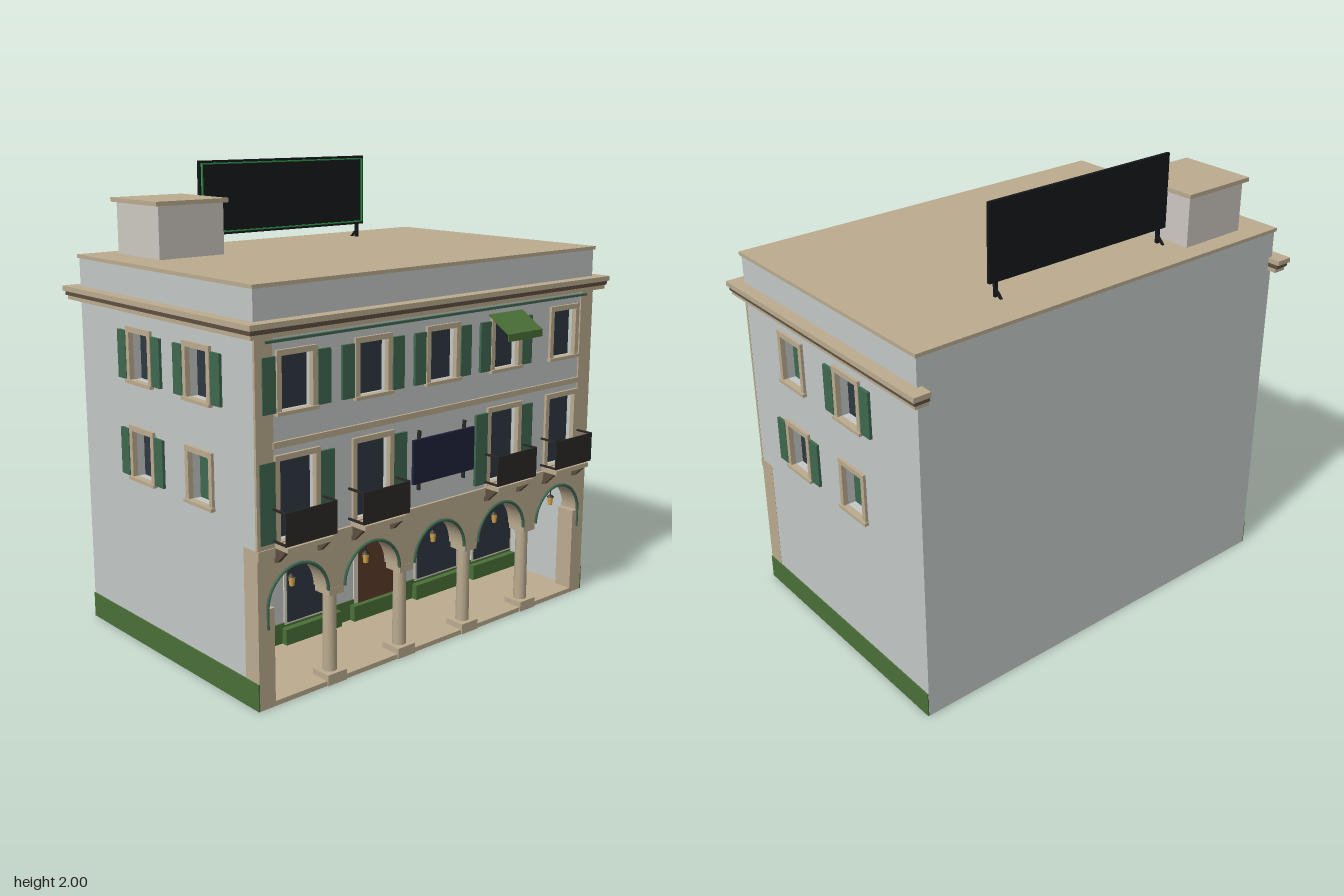
import * as THREE from 'three';

const mat = (color, side = THREE.FrontSide) => new THREE.MeshStandardMaterial({ color, side });
const M = {
  wall: mat(0xc3c9c7), stone: mat(0xbbab8f), trim: mat(0x5c5040), glass: mat(0x2e3841),
  shutter: mat(0x3f6850), green: mat(0x4a7038), door: mat(0x5a3a28), iron: mat(0x2a2826),
  black: mat(0x17181b), navy: mat(0x20233b), neon: mat(0x2f9a4a), hut: mat(0xcdc8c1),
  cream: mat(0xd6d0c0), lamp: mat(0xd9a94e), awning: mat(0x4a7038, THREE.DoubleSide),
};
const BAYS = [-0.755, -0.378, 0, 0.378, 0.755];

function add(parent, name, geometry, material, x = 0, y = 0, z = 0) {
  const mesh = new THREE.Mesh(geometry, material);
  mesh.name = name;
  mesh.position.set(x, y, z);
  parent.add(mesh);
  return mesh;
}

// Box given by its minimum and maximum along each axis
function box(parent, name, material, x0, x1, y0, y1, z0, z1) {
  return add(parent, name, new THREE.BoxGeometry(x1 - x0, y1 - y0, z1 - z0), material,
    (x0 + x1) / 2, (y0 + y1) / 2, (z0 + z1) / 2);
}

function group(parent, name, x = 0, y = 0, z = 0) {
  const g = new THREE.Group();
  g.name = name;
  g.position.set(x, y, z);
  parent.add(g);
  return g;
}

// Wall with window holes; its outer face lies at local z = 0
function wall(parent, name, x0, x1, y0, y1, thick, windows) {
  const s = new THREE.Shape([[x0, y0], [x1, y0], [x1, y1], [x0, y1]].map(p => new THREE.Vector2(...p)));
  for (const { x, w, b, t } of windows) {
    const h = w / 2;
    s.holes.push(new THREE.Path([[x - h, b], [x - h, t], [x + h, t], [x + h, b]].map(p => new THREE.Vector2(...p))));
  }
  add(parent, name, new THREE.ExtrudeGeometry(s, { depth: thick, bevelEnabled: false }), M.wall, 0, 0, -thick);
  windows.forEach(o => windowUnit(parent, o));
}

// Recessed pane, stone surround, sill and optional shutters
function windowUnit(parent, { x, w, b, t, recess, sides = [], closed = false, sw = 0.06 }) {
  const g = group(parent, 'window', x), h = w / 2;
  box(g, 'pane', closed ? M.shutter : M.glass, -h, h, b, t, -recess - 0.01, -recess);
  for (const s of [-1, 1]) {
    const c = s * (h + 0.009);
    box(g, 'frameSide', M.stone, c - 0.011, c + 0.011, b, t, -0.01, 0.012);
  }
  box(g, 'frameTop', M.stone, -h - 0.02, h + 0.02, t - 0.002, t + 0.02, -0.01, 0.013);
  box(g, 'sill', M.stone, -h - 0.024, h + 0.024, b - 0.012, b + 0.002, -0.01, 0.02);
  for (const s of sides) {
    const c = s * (h + 0.055);
    box(g, 'shutter', M.shutter, c - sw / 2, c + sw / 2, b, t, 0, 0.012);
  }
}

function buildShell(root) {
  // Front upper wall with two rows of windows
  const front = group(root, 'frontWall', 0, 0, 0.575);
  const top = BAYS.map((x, i) => ({ x, w: 0.15, b: 1.145, t: 1.355, recess: 0.03, sides: i < 4 ? [-1, 1] : [] }));
  const mid = [[-0.755, [-1, 1]], [-0.378, [1]], [0.378, [-1, 1]], [0.755, []]]
    .map(([x, sides]) => ({ x, w: 0.175, b: 0.655, t: 0.965, recess: 0.03, sides, sw: 0.07 }));
  wall(front, 'upperWall', -0.945, 0.945, 0.6, 1.61, 0.08, [...top, ...mid]);
  for (const s of [-1, 1]) {
    const side = group(root, s > 0 ? 'leftWall' : 'rightWall', s * 0.945);
    side.rotation.y = s * Math.PI / 2;
    const win = (z, b, t, closed) => ({
      x: -s * z, w: 0.14, b, t, recess: 0.045, closed, sides: closed ? [] : [-1, 1],
    });
    const x0 = s > 0 ? -0.495 : -0.637;
    wall(side, 'sideWall', x0, x0 + 1.132, 0, 1.61, 0.05, [
      win(0.225, 1.145, 1.345, s > 0), win(-0.18, 1.145, 1.345, false),
      win(0.225, 0.737, 0.935, s < 0), win(-0.18, 0.737, 0.935, s > 0)].map((o, i) =>
      // The lower front and back windows swap shutters from side to side
      (s > 0 || i < 2) ? o : { ...o, closed: i === 2, sides: i === 2 ? [] : [-1, 1] }));
    const e = s * 0.947;
    box(root, 'greenPlinth', M.green, e - 0.003, e + 0.003, 0, 0.11, -0.637, 0.58);
    // Corner pilaster
    const c = s * 0.906;
    box(root, 'pilaster', M.stone, c - 0.04, c + 0.04, 0.63, 1.43, 0.57, 0.582);
  }
  box(root, 'backWall', M.wall, -0.945, 0.945, 0, 1.61, -0.638, -0.59);
  box(root, 'roof', M.stone, -0.952, 0.952, 1.605, 1.62, -0.645, 0.583);
  box(root, 'floorBand', M.stone, -0.87, 0.87, 1.012, 1.036, 0.57, 0.586);
  box(root, 'greenCable', M.shutter, -0.9, 0.9, 1.404, 1.414, 0.575, 0.587);
  // Three-sided stepped cornice
  for (const [y0, y1, out, m] of [[1.43, 1.448, 0.04, M.stone], [1.448, 1.466, 0.047, M.trim], [1.466, 1.487, 0.055, M.stone]]) {
    box(root, 'frontCornice', m, -0.945 - out, 0.945 + out, y0, y1, 0.57, 0.575 + out);
    for (const s of [-1, 1]) {
      const c = s * (0.935 + out / 2);
      box(root, 'sideCornice', m, c - out / 2 - 0.01, c + out / 2 + 0.01, y0, y1, -0.64 - out, 0.571);
    }
  }
}

function buildArcade(root) {
  const g = group(root, 'arcade');
  // Arched front: one outline running over the five arches
  const s = new THREE.Shape();
  s.moveTo(-0.946, 0);
  s.lineTo(-0.87, 0);
  s.lineTo(-0.87, 0.4);
  for (const x of BAYS) {
    s.lineTo(x - 0.143, 0.4);
    s.absarc(x, 0.4, 0.143, Math.PI, 0, true);
  }
  s.lineTo(0.87, 0.4);
  s.lineTo(0.87, 0);
  s.lineTo(0.946, 0);
  s.lineTo(0.946, 0.635);
  s.lineTo(-0.946, 0.635);
  add(g, 'archedFront', new THREE.ExtrudeGeometry(s, { depth: 0.085, bevelEnabled: false, curveSegments: 20 }), M.stone, 0, 0, 0.495);
  box(g, 'stringCourse', M.stone, -0.946, 0.946, 0.598, 0.636, 0.57, 0.587);
  box(g, 'floor', M.stone, -0.94, 0.94, 0, 0.02, 0.16, 0.58);
  box(g, 'ceiling', M.wall, -0.9, 0.9, 0.585, 0.605, 0.16, 0.5);
  box(g, 'recessedWall', M.wall, -0.9, 0.9, 0.02, 0.59, 0.16, 0.18);

  for (const x of [-0.566, -0.189, 0.189, 0.566]) {
    const col = group(g, 'column', x, 0, 0.5375);
    box(col, 'base', M.stone, -0.048, 0.048, 0, 0.045, -0.048, 0.048);
    add(col, 'shaft', new THREE.CylinderGeometry(0.027, 0.03, 0.33, 12), M.stone, 0, 0.21, 0);
    box(col, 'capital', M.stone, -0.037, 0.037, 0.372, 0.402, -0.043, 0.043);
  }
  for (const x of BAYS) {
    add(g, 'archGarland', new THREE.TorusGeometry(0.147, 0.007, 6, 24, Math.PI), M.shutter, x, 0.4, 0.581);
    // Hanging lantern
    add(g, 'lanternRod', new THREE.CylinderGeometry(0.003, 0.003, 0.06, 6), M.iron, x, 0.515, 0.54);
    add(g, 'lanternCap', new THREE.ConeGeometry(0.018, 0.015, 6), M.iron, x, 0.49, 0.54);
    add(g, 'lantern', new THREE.CylinderGeometry(0.014, 0.01, 0.038, 6), M.lamp, x, 0.464, 0.54);
    box(g, 'planter', M.green, x - 0.152, x + 0.152, 0.02, 0.09, 0.18, 0.215);
    if (x) {
      // Shop windows show on both faces of the recessed wall
      box(g, 'shopFrame', M.cream, x - 0.14, x + 0.14, 0.1, 0.475, 0.153, 0.187);
      box(g, 'shopWindow', M.glass, x - 0.127, x + 0.127, 0.11, 0.462, 0.148, 0.192);
    }
  }
  for (const e of [-1, 1]) {
    add(g, 'garlandEnd', new THREE.CylinderGeometry(0.006, 0.006, 0.08, 6), M.shutter, e * 0.902, 0.36, 0.581);
    const c = e * 0.515;
    box(g, 'greenDado', M.green, c - 0.385, c + 0.385, 0.02, 0.11, 0.178, 0.186);
  }
  box(g, 'doorFrame', M.cream, -0.13, 0.13, 0.02, 0.432, 0.153, 0.187);
  box(g, 'door', M.door, -0.108, 0.108, 0.02, 0.415, 0.148, 0.192);
  box(g, 'doorLampBar', M.iron, -0.08, 0.08, 0.452, 0.46, 0.18, 0.2);
}

function buildBalcony(root, x) {
  const g = group(root, 'balcony', x, 0, 0.575);
  box(g, 'slab', M.stone, -0.11, 0.11, 0.632, 0.652, 0, 0.085);
  box(g, 'railPanel', M.iron, -0.123, 0.123, 0.66, 0.79, 0.086, 0.09);
  for (const s of [-1, 1]) {
    for (const y of [0.665, 0.787]) box(g, 'sideRail', M.iron, s * 0.12 - 0.004, s * 0.12 + 0.004, y - 0.004, y + 0.004, 0, 0.088);
    const b = new THREE.Shape([[0, 0.572], [0.02, 0.58], [0.075, 0.633], [0, 0.633]].map(p => new THREE.Vector2(...p)));
    const m = add(g, 'bracket', new THREE.ExtrudeGeometry(b, { depth: 0.018, bevelEnabled: false }), M.trim, s * 0.103 + 0.009, 0, 0);
    m.rotation.y = -Math.PI / 2;
  }
}

function buildFrontFittings(root) {
  [-0.755, -0.378, 0.378, 0.755].forEach(x => buildBalcony(root, x));
  // Plain signboard on two posts
  box(root, 'signBoard', M.navy, -0.175, 0.175, 0.74, 0.925, 0.588, 0.6);
  for (const s of [-1, 1]) box(root, 'signPost', M.iron, s * 0.13 - 0.004, s * 0.13 + 0.004, 0.708, 0.957, 0.574, 0.59);
  // Sloping awning with a short valance
  const aw = group(root, 'awning', 0.375, 0, 0);
  const cloth = add(aw, 'awningCloth', new THREE.BoxGeometry(0.21, 0.005, Math.hypot(0.112, 0.07)), M.awning, 0, 1.347, 0.632);
  cloth.rotation.x = Math.atan2(0.07, 0.112);
  box(aw, 'valance', M.awning, -0.105, 0.105, 1.283, 1.314, 0.685, 0.69);
}

function buildRoofItems(root) {
  box(root, 'stairHut', M.hut, -0.803, -0.485, 1.61, 1.84, -0.557, -0.238);
  box(root, 'stairHutCap', M.stone, -0.822, -0.468, 1.837, 1.855, -0.575, -0.222);
  const g = group(root, 'billboard');
  box(g, 'board', M.black, -0.47, 0.466, 1.68, 2, -0.446, -0.432);
  // Green border on the front face
  for (const y of [1.693, 1.987]) box(g, 'borderBar', M.neon, -0.46, 0.456, y - 0.003, y + 0.003, -0.433, -0.424);
  for (const x of [-0.457, 0.453]) box(g, 'borderBar', M.neon, x - 0.003, x + 0.003, 1.69, 1.99, -0.433, -0.424);
  for (const x of [-0.432, 0.432]) {
    box(g, 'post', M.black, x - 0.007, x + 0.007, 1.615, 1.7, -0.446, -0.432);
    const brace = add(g, 'brace', new THREE.BoxGeometry(0.01, 0.008, 0.05), M.black, x, 1.636, -0.457);
    brace.rotation.x = -Math.PI / 4;
  }
}

export function createModel() {
  const root = new THREE.Group();
  root.name = 'arcadedTownhouse';
  buildShell(root);
  buildArcade(root);
  buildFrontFittings(root);
  buildRoofItems(root);
  return root;
}
